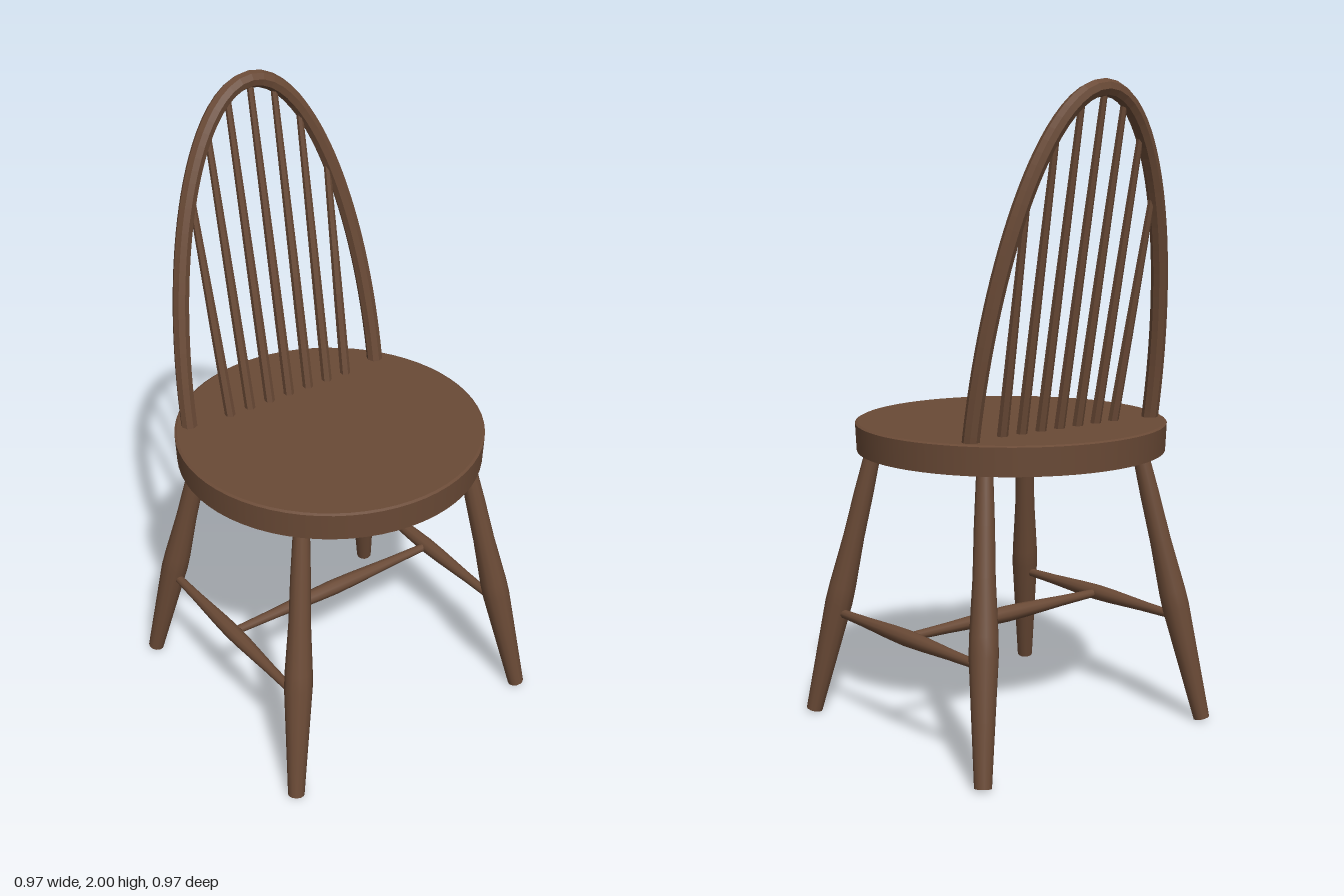
import * as THREE from 'three';

const wood = new THREE.MeshStandardMaterial({ color: 0x6a4a36 });
const facetedWood = new THREE.MeshStandardMaterial({ color: 0x6a4a36, flatShading: true });
const V = (x, y, z) => new THREE.Vector3(x, y, z);

// Turned piece from a to b; profile lists [fraction along, radius], ends are capped
function turned(name, a, b, profile, sides, material) {
  const axis = b.clone().sub(a);
  const length = axis.length();
  const points = profile.map(([t, r]) => new THREE.Vector2(r, t * length));
  const first = points[0], last = points[points.length - 1];
  // doubled rim points keep the end caps sharp
  const outline = [new THREE.Vector2(0, first.y), first.clone(), ...points, last.clone(), new THREE.Vector2(0, last.y)];
  const mesh = new THREE.Mesh(new THREE.LatheGeometry(outline, sides), material);
  mesh.name = name;
  mesh.position.copy(a);
  mesh.quaternion.setFromUnitVectors(V(0, 1, 0), axis.normalize());
  return mesh;
}

// Depth of the leaning back at a given height
const backZ = (y) => -0.25 - (y - 0.97) * 0.164;
const BOW = { halfWidth: 0.362, height: 1.025, baseY: 0.95, radius: 0.026 };

function bowPoint(angle) {
  const y = BOW.baseY + BOW.height * Math.sin(angle);
  return V(BOW.halfWidth * Math.cos(angle), y, backZ(y));
}

export function createModel() {
  const chair = new THREE.Group();
  chair.name = 'chair';

  // Round seat with a gently bellied underside
  const seatProfile = [
    [0, 0.864], [0.25, 0.868], [0.482, 0.882], [0.482, 0.882],
    [0.486, 0.968], [0.486, 0.968], [0.478, 0.972], [0.478, 0.972], [0, 0.97],
  ].map(([r, y]) => new THREE.Vector2(r, y));
  const seat = new THREE.Mesh(new THREE.LatheGeometry(seatProfile, 64), wood);
  seat.name = 'seat';
  chair.add(seat);

  // Splayed legs, swelling where the stretchers enter
  const midZ = 0.022;
  const legProfile = [[0, 0.026], [0.2, 0.035], [0.4, 0.044], [0.46, 0.043], [0.64, 0.034], [0.8, 0.031], [1, 0.024]];
  for (const side of [1, -1]) {
    for (const end of [1, -1]) {
      const foot = V(side * 0.452, 0.004, midZ + end * 0.435);
      const top = V(side * 0.308, 0.91, midZ + end * 0.27);
      chair.add(turned(end > 0 ? 'frontLeg' : 'backLeg', foot, top, legProfile, 12, wood));
    }
  }

  // Stretchers in an H
  const stretcherProfile = [[0, 0.013], [0.2, 0.017], [0.4, 0.024], [0.5, 0.026], [0.6, 0.024], [0.8, 0.017], [1, 0.013]];
  const stretcherY = 0.335;
  for (const side of [1, -1]) {
    const x = side * 0.398;
    chair.add(turned('sideStretcher', V(x, stretcherY, midZ - 0.37), V(x, stretcherY, midZ + 0.37), stretcherProfile, 10, wood));
  }
  chair.add(turned('crossStretcher', V(-0.398, stretcherY, midZ), V(0.398, stretcherY, midZ), stretcherProfile, 10, wood));

  // Bent bow of the back
  const path = [];
  for (let i = 0; i <= 40; i++) path.push(bowPoint(-0.03 + (i / 40) * (Math.PI + 0.06)));
  const bow = new THREE.Mesh(
    new THREE.TubeGeometry(new THREE.CatmullRomCurve3(path), 64, BOW.radius, 8, false), facetedWood);
  bow.name = 'backBow';
  chair.add(bow);

  // Seven spindles fanning slightly outwards into the bow
  for (let i = -3; i <= 3; i++) {
    const top = bowPoint(Math.acos((i * 0.0825) / BOW.halfWidth));
    const base = V(i * 0.0745, 0.94, -0.222);
    chair.add(turned('backSpindle', base, top, [[0, 0.017], [0.4, 0.015], [1, 0.01]], 6, facetedWood));
  }
  return chair;
}
